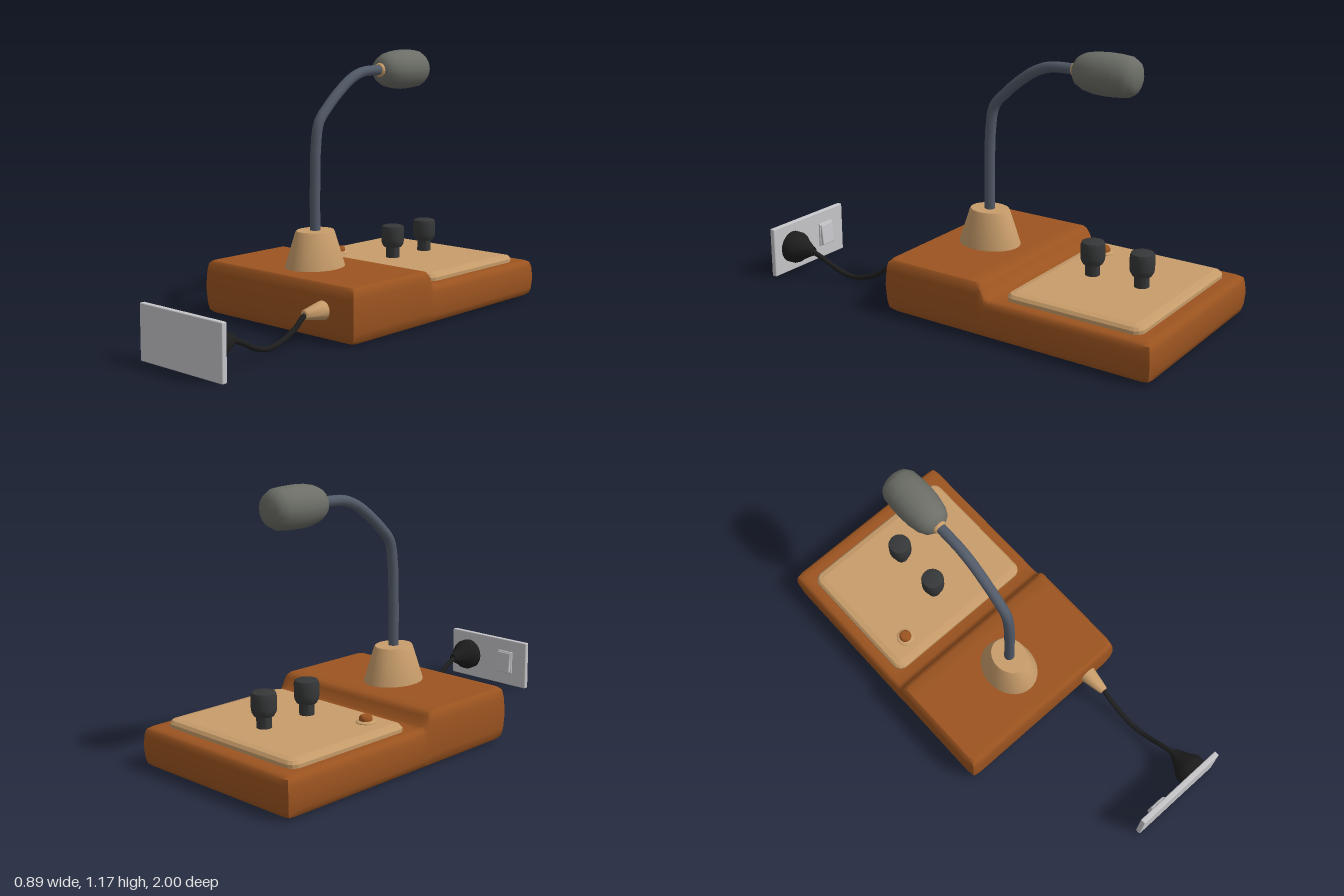
import * as THREE from 'three';
import { toCreasedNormals } from 'three/addons/utils/BufferGeometryUtils.js';
import { RoundedBoxGeometry } from 'three/addons/geometries/RoundedBoxGeometry.js';

const material = (name, color) => {
  const m = new THREE.MeshStandardMaterial({ color });
  m.name = name;
  return m;
};

// Lathe from [radius, height] pairs with softened creases
function lathe(points, sides = 24, crease = 0.7) {
  const g = new THREE.LatheGeometry(points.map(p => new THREE.Vector2(p[0], p[1])), sides);
  return toCreasedNormals(g, crease);
}

function tube(points, radius, segments) {
  const curve = new THREE.CatmullRomCurve3(points.map(p => new THREE.Vector3(...p)));
  return new THREE.TubeGeometry(curve, segments, radius, 12);
}

// Stepped desk base: a segmented box whose rows and columns are moved to
// listed stations, with bulging walls and chamfered edges
function baseGeometry() {
  const xs = [-0.447, -0.4, 0.4, 0.447];
  const zs = [-1, -0.95, -0.3, -0.24, -0.224, -0.205, -0.195, -0.178, -0.12, 0.25, 0.304];
  const hs = [0.17, 0.17, 0.17, 0.171, 0.179, 0.218, 0.233, 0.24, 0.24, 0.24, 0.24];
  const ts = [0, 0.05, 0.2, 0.5, 0.8, 0.95, 1];
  const inset = [0.022, 0.01, 0.004, 0, 0.004, 0.01, 0.022];
  const nx = xs.length - 1, ny = ts.length - 1, nz = zs.length - 1;
  const g = new THREE.BoxGeometry(1, 1, 1, nx, ny, nz);
  const p = g.attributes.position;
  for (let i = 0; i < p.count; i++) {
    const a = Math.round((p.getX(i) + 0.5) * nx);
    const b = Math.round((p.getY(i) + 0.5) * ny);
    const c = Math.round((p.getZ(i) + 0.5) * nz);
    const endX = a === 0 ? 1 : a === nx ? -1 : 0;
    const endZ = c === 0 ? 1 : c === nz ? -1 : 0;
    const pull = inset[b] + (endX && endZ ? 0.006 : 0);
    p.setXYZ(i, xs[a] + endX * pull, 0.006 + ts[b] * (hs[c] - 0.006), zs[c] + endZ * pull);
  }
  return toCreasedNormals(g, 0.75);
}

// Raised control panel with sloping borders
function panelGeometry(w, d, slope) {
  const x = w / 2 - slope, y = d / 2 - slope, r = 0.012;
  const s = new THREE.Shape();
  s.moveTo(-x + r, -y);
  s.lineTo(x - r, -y).quadraticCurveTo(x, -y, x, -y + r);
  s.lineTo(x, y - r).quadraticCurveTo(x, y, x - r, y);
  s.lineTo(-x + r, y).quadraticCurveTo(-x, y, -x, y - r);
  s.lineTo(-x, -y + r).quadraticCurveTo(-x, -y, -x + r, -y);
  const g = new THREE.ExtrudeGeometry(s, {
    depth: 0.02, bevelThickness: 0.018, bevelSize: slope, bevelSegments: 2, curveSegments: 4
  });
  return g.rotateX(-Math.PI / 2);
}

export function createModel() {
  const model = new THREE.Group();
  model.name = 'deskMicrophone';
  const brown = material('brown', 0x9c5420);
  const tan = material('tan', 0xc79c6a);
  const steel = material('blueGrey', 0x525a68);
  const foam = material('foamGrey', 0x6c6e67);
  const charcoal = material('charcoal', 0x363738);
  const black = material('black', 0x1d1d1d);
  const plateGrey = material('plateGrey', 0xc6c6ca);

  const add = (name, geometry, mat, x = 0, y = 0, z = 0, parent = model) => {
    const mesh = new THREE.Mesh(geometry, mat);
    mesh.name = name;
    mesh.position.set(x, y, z);
    parent.add(mesh);
    return mesh;
  };

  // Base and control panel
  add('base', baseGeometry(), brown);
  add('controlPanel', panelGeometry(0.77, 0.635, 0.035), tan, 0, 0.165, -0.602);

  // Two control knobs
  const knob = lathe([[0, 0], [0.032, 0], [0.032, 0.052], [0.042, 0.054], [0.051, 0.07],
    [0.053, 0.085], [0.053, 0.138], [0.049, 0.151], [0.04, 0.155], [0, 0.155]]);
  for (const z of [-0.48, -0.717]) add('knob', knob, charcoal, 0, 0.2, z);

  // Indicator lamp in its collar
  add('lampCollar', lathe([[0.042, 0], [0.042, 0.006], [0.034, 0.012], [0.026, 0.012], [0, 0.01]], 16),
    tan, -0.255, 0.2, -0.39);
  add('lamp', lathe([[0.028, 0], [0.028, 0.02], [0.022, 0.029], [0, 0.032]], 12), brown, -0.255, 0.204, -0.39);

  // Oval neck mount
  const mount = add('neckMount', lathe([[0.121, 0], [0.119, 0.01], [0.079, 0.155], [0.075, 0.162], [0, 0.162]], 32),
    tan, 0, 0.238, 0.053);
  mount.scale.z = 1.2;

  // Curved neck
  add('neck', tube([[0, 0.38, 0.053], [0, 0.6, 0.053], [0, 0.76, 0.048], [0, 0.87, 0.028], [0, 0.935, -0.03],
    [0, 0.995, -0.1], [0, 1.047, -0.175], [0, 1.076, -0.25], [0, 1.082, -0.32], [0, 1.082, -0.4]], 0.0235, 40), steel);

  // Microphone head and its collar, pointing to the rear
  const collar = add('headCollar', lathe([[0, 0], [0.027, 0], [0.032, 0.006], [0.032, 0.04]], 16), tan, 0, 1.082, -0.368);
  const head = add('microphoneHead', lathe([[0, 0], [0.038, 0], [0.062, 0.018], [0.078, 0.05], [0.088, 0.1],
    [0.091, 0.15], [0.09, 0.2], [0.085, 0.25], [0.07, 0.278], [0.045, 0.292], [0, 0.296]], 16, 1.2), foam, 0, 1.081, -0.38);
  collar.rotation.x = head.rotation.x = -Math.PI / 2;

  // Cable gland and hanging cable
  const gland = add('cableGland', lathe([[0.042, -0.01], [0.04, 0.01], [0.021, 0.108], [0.016, 0.113], [0, 0.113]], 20),
    tan, 0.275, 0.13, 0.3);
  gland.rotation.x = Math.PI / 2;
  add('cable', tube([[0.275, 0.13, 0.39], [0.276, 0.122, 0.42], [0.278, 0.09, 0.46], [0.28, 0.055, 0.53],
    [0.284, 0.035, 0.62], [0.292, 0.052, 0.7], [0.302, 0.092, 0.78], [0.31, 0.125, 0.86]], 0.0115, 40), black);

  // Plug pushed into the wall socket
  const plug = add('plug', lathe([[0, 0], [0.02, 0], [0.026, 0.015], [0.05, 0.06], [0.068, 0.085],
    [0.074, 0.1], [0.074, 0.132], [0.066, 0.135], [0.066, 0.145]], 20), black, 0.311, 0.12, 0.838);
  plug.rotation.x = Math.PI / 2;

  // Wall plate with rocker switch on its inner side
  const socket = new THREE.Group();
  socket.name = 'wallSocket';
  model.add(socket);
  add('wallPlate', new RoundedBoxGeometry(0.47, 0.233, 0.025, 2, 0.005), plateGrey, 0.19, 0.1165, 0.9875, socket);
  add('switchFrame', new RoundedBoxGeometry(0.088, 0.112, 0.014, 2, 0.004), plateGrey, 0.08, 0.118, 0.974, socket);
  const rocker = add('switchRocker', new RoundedBoxGeometry(0.078, 0.1, 0.02, 2, 0.004), plateGrey, 0.08, 0.118, 0.966, socket);
  rocker.rotation.x = 0.1;

  return model;
}
